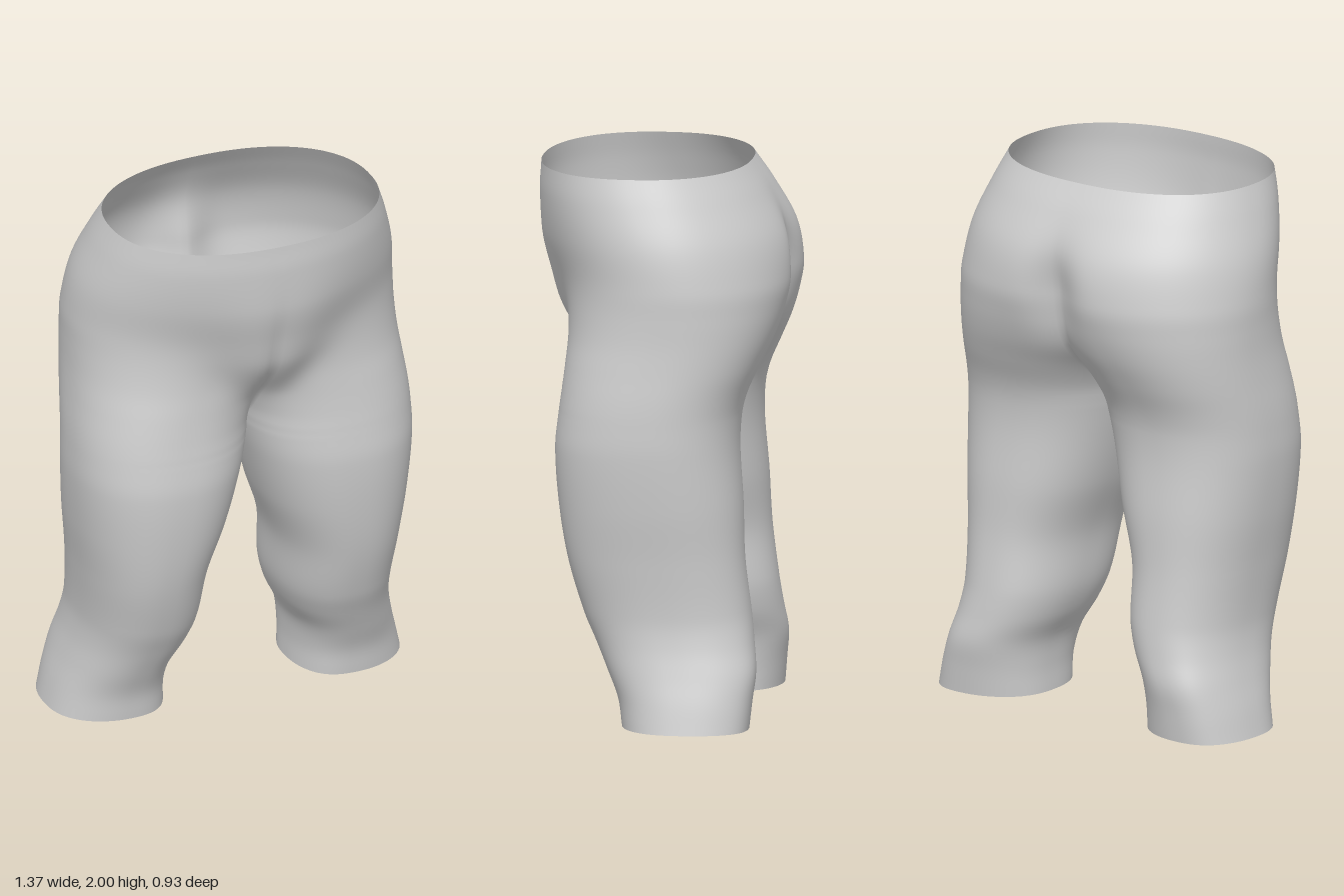
import * as THREE from 'three';
import { mergeVertices } from 'three/addons/utils/BufferGeometryUtils.js';

// One leg-and-hip half, bottom to top: [y, inner x, outer x, front z, back z].
// A negative inner x means the section runs past the centre seam and is cut there.
const SECTIONS = [
  [0.0, 0.255, 0.685, 0.115, -0.35],
  [0.1, 0.258, 0.66, 0.13, -0.36],
  [0.2, 0.245, 0.63, 0.17, -0.37],
  [0.3, 0.195, 0.605, 0.215, -0.358],
  [0.4, 0.165, 0.595, 0.26, -0.345],
  [0.6, 0.145, 0.61, 0.32, -0.32],
  [0.8, 0.078, 0.635, 0.355, -0.31],
  [1.0, 0.026, 0.65, 0.37, -0.295],
  [1.12, 0.0, 0.648, 0.36, -0.3],
  [1.2, -0.015, 0.643, 0.35, -0.32],
  [1.3, -0.065, 0.633, 0.34, -0.365],
  [1.4, -0.16, 0.625, 0.335, -0.41],
  [1.5, -0.25, 0.622, 0.342, -0.443],
  [1.6, -0.34, 0.62, 0.362, -0.463],
  [1.75, -0.47, 0.6, 0.418, -0.448],
  [1.9, -0.53, 0.55, 0.452, -0.37],
  [2.0, -0.51, 0.51, 0.455, -0.3],
];
const ROWS = 100, COLS = 72;

const gauss = (d, w) => Math.exp(-((d / w) ** 2));

// Smooth cubic interpolation of the sections at height y
function sectionAt(y) {
  const last = SECTIONS.length - 1;
  let i = 0;
  while (i < last - 1 && SECTIONS[i + 1][0] < y) i++;
  const a = SECTIONS[i], b = SECTIONS[i + 1], h = b[0] - a[0], t = (y - a[0]) / h;
  const slope = (k, j) => {
    const p = SECTIONS[Math.max(k - 1, 0)], q = SECTIONS[Math.min(k + 1, last)];
    return (q[j] - p[j]) / (q[0] - p[0]);
  };
  return [1, 2, 3, 4].map((j) =>
    a[j] * (1 + 2 * t) * (1 - t) ** 2 + slope(i, j) * h * t * (1 - t) ** 2 +
    b[j] * t * t * (3 - 2 * t) + slope(i + 1, j) * h * t * t * (t - 1));
}

// Point on the half section: u runs from the front seam around the outside to the back seam
function surfacePoint(u, y) {
  const [inner, outer, front, back] = sectionAt(y);
  const cx = (inner + outer) / 2, rx = (outer - inner) / 2;
  const cz = (front + back) / 2, rz = (front - back) / 2;
  // legs and waist are slightly boxy, the hips rounder
  const power = 2.3 - 0.28 * gauss(y - 1.65, 0.25);
  const start = cx < rx ? Math.acos(Math.max(cx / rx, 0) ** (power / 2)) : 0;
  const t = start + u * 2 * (Math.PI - start);
  const round = (s) => Math.sign(s) * Math.abs(s) ** (2 / power);
  const v = round(Math.sin(t));
  let x = cx - rx * round(Math.cos(t));
  let z = cz + rz * v;
  // raised front panel narrowing to the crotch
  if (v > 0) {
    const height = gauss(y - 1.5, y > 1.5 ? 0.3 : 0.16);
    z += 0.085 * v * height * gauss(x, 0.06 + 0.45 * Math.max(y - 1.3, 0));
  }
  // cleft between the two rounded halves of the seat
  if (v < 0) z -= 0.05 * v * gauss(y - 1.62, 0.17) * gauss(x, 0.1);
  // ankles lean outwards at the back
  if (y < 0.4) x -= 0.03 * v * (1 - y / 0.4) * Math.sin(t) ** 2;
  if (start > 0 && (u === 0 || u === 1)) x = 0;
  return [x, y, z];
}

// Both mirrored halves, welded along the centre and inner-leg seams
function trousersGeometry() {
  const positions = [], index = [];
  for (const side of [1, -1]) {
    const base = positions.length / 3;
    for (let r = 0; r <= ROWS; r++) {
      for (let c = 0; c <= COLS; c++) {
        const [x, y, z] = surfacePoint(c / COLS, (2 * r) / ROWS);
        positions.push(side * x, y, z);
        if (r === ROWS || c === COLS) continue;
        const a = base + r * (COLS + 1) + c, b = a + 1, d = a + COLS + 1, e = d + 1;
        if (side > 0) index.push(a, b, e, a, e, d);
        else index.push(a, e, b, a, d, e);
      }
    }
  }
  const geometry = new THREE.BufferGeometry();
  geometry.setAttribute('position', new THREE.Float32BufferAttribute(positions, 3));
  geometry.setIndex(index);
  const welded = mergeVertices(geometry, 1e-4);
  welded.computeVertexNormals();
  return welded;
}

export function createModel() {
  const fabric = new THREE.MeshStandardMaterial({ color: 0xcccccc, side: THREE.DoubleSide });
  fabric.name = 'greyFabric';

  const trousers = new THREE.Mesh(trousersGeometry(), fabric);
  trousers.name = 'trousers';

  const model = new THREE.Group();
  model.name = 'trousersModel';
  model.add(trousers);
  return model;
}
